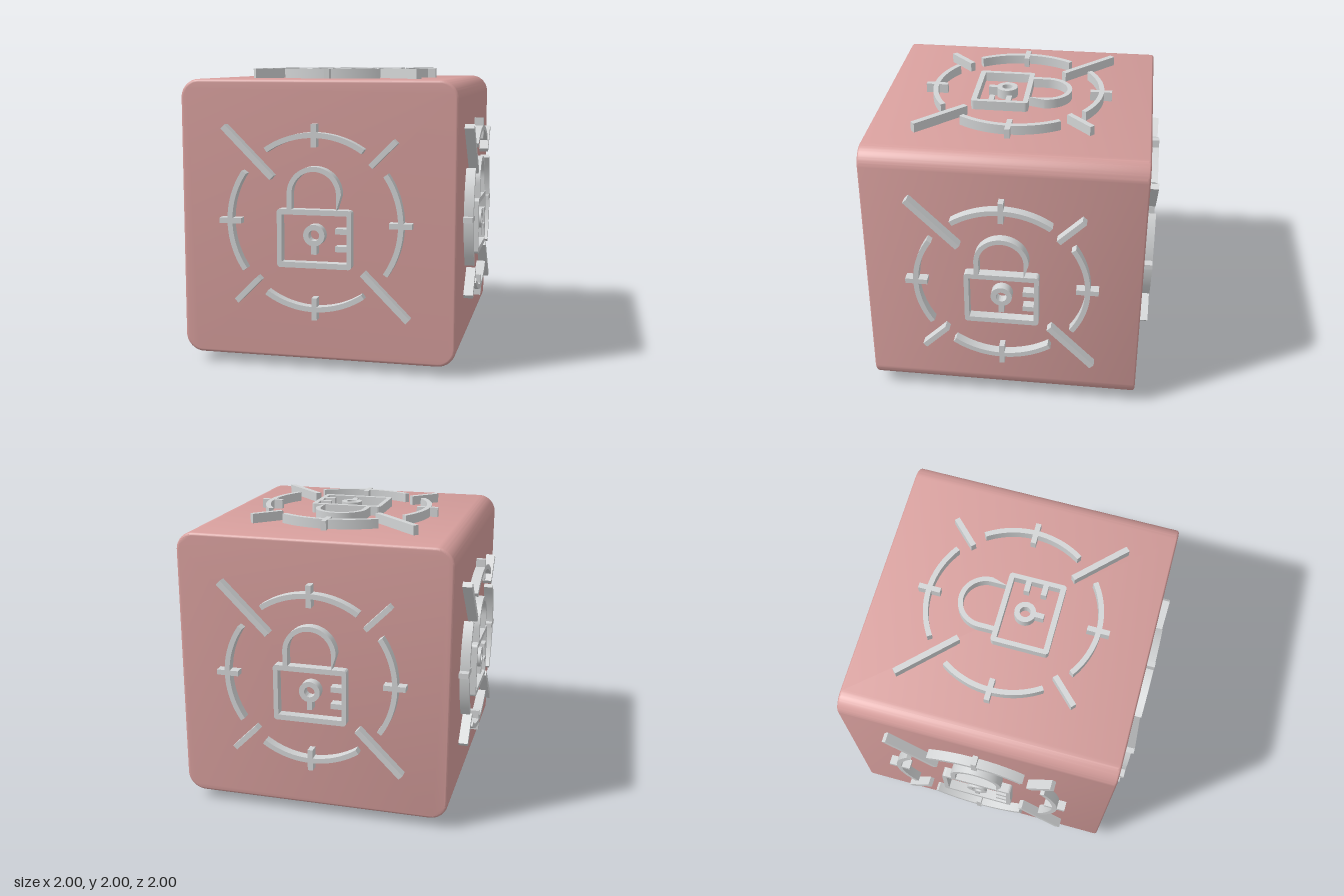
import * as THREE from 'three';
import { toCreasedNormals } from 'three/addons/utils/BufferGeometryUtils.js';

const HALF = 0.935; // half the cube's width
const EMBED = 0.01; // how far the reliefs sink into the cube

const pink = new THREE.MeshStandardMaterial({ color: 0xd69e9c });
pink.name = 'dusty pink';
const grey = new THREE.MeshStandardMaterial({ color: 0xd2d4d5 });
grey.name = 'light grey';

// Rectangle with rounded corners, from x0,y0 to x1,y1
function roundedRect(x0, y0, x1, y1, r) {
  const s = new THREE.Shape();
  s.absarc(x1 - r, y1 - r, r, 0, Math.PI / 2);
  s.absarc(x0 + r, y1 - r, r, Math.PI / 2, Math.PI);
  s.absarc(x0 + r, y0 + r, r, Math.PI, Math.PI * 1.5);
  s.absarc(x1 - r, y0 + r, r, Math.PI * 1.5, Math.PI * 2);
  s.closePath();
  return s;
}

// Straight bar of a given width between two points
function bar(ax, ay, bx, by, width) {
  const a = new THREE.Vector2(ax, ay), b = new THREE.Vector2(bx, by);
  const d = b.clone().sub(a).normalize();
  const n = new THREE.Vector2(-d.y, d.x).multiplyScalar(width / 2);
  return new THREE.Shape([
    a.clone().sub(n), b.clone().sub(n), b.clone().add(n), a.clone().add(n),
  ]);
}

// Segment of a ring centred on the given angle
function ringArc(inner, outer, angle, halfSpan) {
  const s = new THREE.Shape();
  s.absarc(0, 0, outer, angle - halfSpan, angle + halfSpan, false);
  s.absarc(0, 0, inner, angle + halfSpan, angle - halfSpan, true);
  s.closePath();
  return s;
}

function relief(name, shapes) {
  const geometry = toCreasedNormals(new THREE.ExtrudeGeometry(shapes, {
    depth: 1 - HALF + EMBED, bevelEnabled: false, curveSegments: 20,
  }), 0.5);
  geometry.translate(0, 0, HALF - EMBED);
  const mesh = new THREE.Mesh(geometry, grey);
  mesh.name = name;
  return mesh;
}

function createEmblem() {
  const emblem = new THREE.Group();

  // Broken ring with a tick across the middle of each arc
  const arcs = [], ticks = [];
  for (let i = 0; i < 4; i++) {
    const a = i * Math.PI / 2, c = Math.cos(a), s = Math.sin(a);
    arcs.push(ringArc(0.56, 0.595, a, 0.602));
    ticks.push(bar(c * 0.5, s * 0.5, c * 0.65, s * 0.65, 0.036));
  }
  emblem.add(relief('ringArcs', arcs), relief('ringTicks', ticks));

  // Diagonal rays: one long pair, one short pair
  emblem.add(relief('diagonalRays', [
    bar(-0.287, 0.293, -0.62, 0.626, 0.04),
    bar(0.323, -0.323, 0.626, -0.626, 0.04),
    bar(0.377, 0.382, 0.54, 0.545, 0.037),
    bar(-0.377, -0.382, -0.54, -0.545, 0.037),
  ]));

  // Padlock body frame
  const body = roundedRect(-0.252, -0.3, 0.252, 0.09, 0.022);
  body.holes.push(roundedRect(-0.22, -0.263, 0.22, 0.054, 0.003));
  emblem.add(relief('lockBody', body));

  // Shackle: a half ring on two legs
  const shackle = new THREE.Shape();
  shackle.moveTo(0.183, 0.08);
  shackle.absarc(0, 0.19, 0.183, 0, Math.PI, false);
  shackle.lineTo(-0.183, 0.08);
  shackle.lineTo(-0.15, 0.08);
  shackle.absarc(0, 0.19, 0.15, Math.PI, 0, true);
  shackle.lineTo(0.15, 0.08);
  shackle.closePath();
  emblem.add(relief('lockShackle', shackle));

  // Keyhole ring and stem
  const keyhole = new THREE.Shape();
  keyhole.absarc(0, -0.08, 0.072, 0, Math.PI * 2);
  const hole = new THREE.Path();
  hole.absarc(0, -0.08, 0.036, 0, Math.PI * 2);
  keyhole.holes.push(hole);
  emblem.add(relief('keyholeRing', keyhole));
  emblem.add(relief('keyholeStem', bar(0, -0.14, 0, -0.207, 0.036)));

  // Two teeth inside the frame
  emblem.add(relief('lockTeeth', [-0.048, -0.165].map((y) => bar(0.145, y, 0.23, y, 0.037))));
  return emblem;
}

export function createModel() {
  const model = new THREE.Group();
  model.name = 'lockCube';

  // Cube: wide rounding along the z edges, small bevel at front and back
  const bevel = 0.02, h = HALF - bevel;
  const geometry = toCreasedNormals(new THREE.ExtrudeGeometry(roundedRect(-h, -h, h, h, 0.105), {
    depth: 2 * h, bevelEnabled: true, bevelSize: bevel, bevelThickness: bevel,
    bevelSegments: 4, curveSegments: 12,
  }), 0.6);
  geometry.translate(0, 0, -h);
  const cube = new THREE.Mesh(geometry, pink);
  cube.name = 'cubeBody';
  cube.position.y = 1;
  model.add(cube);

  // The same emblem on all six faces
  const q = Math.PI / 2;
  const faces = {
    front: [0, 0], right: [0, q], back: [0, 2 * q], left: [0, -q], top: [-q, 0], bottom: [q, 0],
  };
  const emblem = createEmblem();
  for (const [face, [rx, ry]] of Object.entries(faces)) {
    const copy = emblem.clone();
    copy.name = face + 'Emblem';
    copy.rotation.set(rx, ry, 0);
    copy.position.y = 1;
    model.add(copy);
  }
  return model;
}
